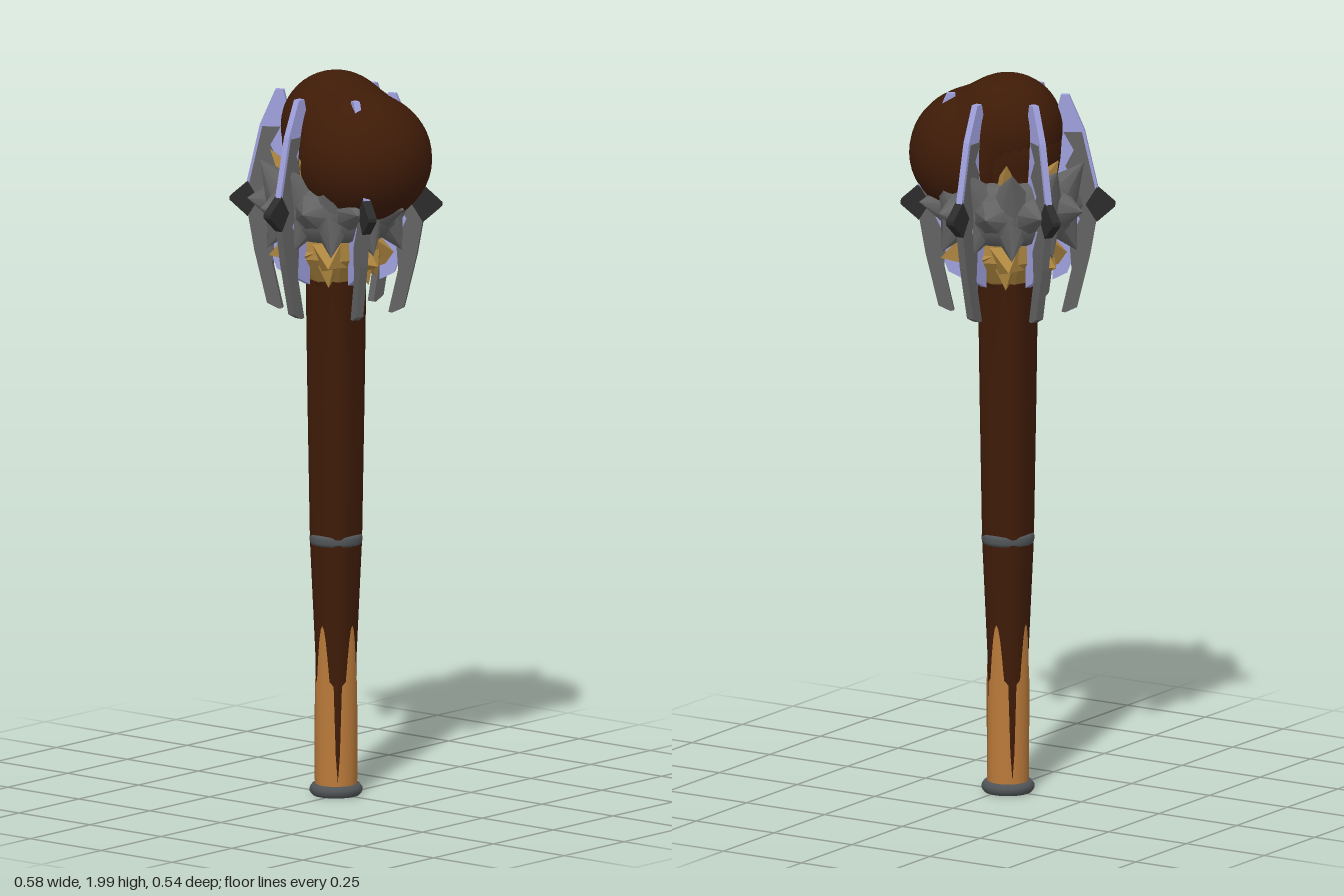
import * as THREE from 'three';

const AXIS_Z = -0.015;
const mat = (name, color, extra = {}) => {
  const m = new THREE.MeshStandardMaterial({ color, ...extra });
  m.name = name;
  return m;
};

export function createModel() {
  const brown = mat('darkWood', 0x3e1b07);
  const orange = mat('paleWood', 0xba7a3a, { side: THREE.DoubleSide });
  const gray = mat('iron', 0x636363);
  const ringGray = mat('bandSteel', 0x505456);
  const dark = mat('blackIron', 0x2b2b2b);
  const lavender = mat('bladeSteel', 0x9fa0dc);
  const gold = mat('amberCrystal', 0xae8640, { flatShading: true });

  const model = new THREE.Group();
  const club = new THREE.Group();
  club.name = 'club';
  club.position.z = AXIS_Z;
  model.add(club);

  const add = (name, geometry, material, parent = club) => {
    const mesh = new THREE.Mesh(geometry, material);
    mesh.name = name;
    parent.add(mesh);
    return mesh;
  };
  const lathe = (pts, n = 32) =>
    new THREE.LatheGeometry(pts.map(([r, y]) => new THREE.Vector2(r, y)), n);

  // Shaft: round at the grip, swelling into a rounded square higher up
  const shaft = lathe([[0.0525, 0.03], [0.0535, 0.28], [0.055, 0.4], [0.063, 0.71], [0.069, 1.1], [0.073, 1.42], [0.09, 1.5]], 48);
  const sp = shaft.attributes.position;
  for (let i = 0; i < sp.count; i++) {
    const x = sp.getX(i), z = sp.getZ(i), y = sp.getY(i);
    const k = 1 + 0.12 * Math.sin(2 * Math.atan2(z, x)) ** 2 * THREE.MathUtils.smoothstep(y, 0.3, 0.7);
    sp.setX(i, x * k);
    sp.setZ(i, z * k);
  }
  shaft.computeVertexNormals();
  add('shaft', shaft, brown);

  // Bare grip: four pointed tongues, with a narrow dark streak between each pair
  const grip = new THREE.CylinderGeometry(0.0575, 0.0545, 0.46, 64, 1, true);
  const gp = grip.attributes.position;
  for (let i = 0; i < gp.count; i++) {
    if (gp.getY(i) < 0) { gp.setY(i, 0.02); continue; }
    const a = 2 * Math.atan2(gp.getZ(i), gp.getX(i));
    const c = Math.abs(Math.cos(a)), d = Math.abs(Math.sin(a));
    gp.setY(i, 0.3 + 0.04 * c + 0.14 * Math.max(0, (c - 0.72) / 0.28) - 0.25 * Math.max(0, (d - 0.93) / 0.07));
  }
  add('grip', grip, orange);
  add('gripEnd', new THREE.CylinderGeometry(0.0545, 0.0545, 0.01, 32), orange).position.y = 0.015;

  // Metal bands
  add('pommelRing', lathe([[0.05, 0.01], [0.064, 0.01], [0.071, 0.019], [0.071, 0.03], [0.064, 0.04], [0.05, 0.04]]), ringGray);
  add('shaftBand', lathe([[0.058, 0.697], [0.069, 0.7], [0.071, 0.708], [0.071, 0.719], [0.069, 0.727], [0.058, 0.73]], 40), ringGray);

  // Head: a flared neck under a dome smoothly blended with a ball bulging forward
  add('headNeck', lathe([[0.07, 1.4], [0.09, 1.5], [0.122, 1.64], [0.143, 1.77], [0.147, 1.83], [0.12, 1.88]], 36), brown);
  const centre = new THREE.Vector3(0, 1.815, 0.035);
  const reach = (dir, y, z, r, squash) => {
    const v = new THREE.Vector3(dir.x, dir.y / squash, dir.z);
    const o = new THREE.Vector3(0, (centre.y - y) / squash, centre.z - z);
    const a = v.lengthSq(), b = v.dot(o), c = o.lengthSq() - r * r;
    return (-b + Math.sqrt(b * b - a * c)) / a;
  };
  const head = new THREE.SphereGeometry(1, 40, 32);
  const hp = head.attributes.position;
  for (let i = 0; i < hp.count; i++) {
    const dir = new THREE.Vector3().fromBufferAttribute(hp, i).normalize();
    const ball = reach(dir, 1.77, 0.095, 0.187, 0.95);
    const dome = reach(dir, 1.849, 0, 0.149, 1);
    const p = dir.multiplyScalar((ball ** 11 + dome ** 11) ** (1 / 11)).add(centre);
    hp.setXYZ(i, p.x, p.y, p.z);
  }
  head.computeVertexNormals();
  add('head', head, brown);

  // Ring of spikes pointing from an inner circle to an outer one
  const up = new THREE.Vector3(0, 1, 0);
  const spikeRing = (name, count, offset, from, to, base, sides, material) => {
    const ring = new THREE.Group();
    ring.name = name;
    club.add(ring);
    for (let i = 0; i < count; i++) {
      const a = offset + (i * Math.PI * 2) / count;
      const at = ([r, y]) => new THREE.Vector3(Math.sin(a) * r, y, -Math.cos(a) * r);
      const p = at(from), q = at(to), d = q.clone().sub(p);
      const spike = add('spike', new THREE.ConeGeometry(base, d.length(), sides, 1, true), material, ring);
      spike.position.copy(p).add(q).multiplyScalar(0.5);
      spike.quaternion.setFromUnitVectors(up, d.normalize());
    }
  };

  // Spiked iron collar
  const collar = add('collar', new THREE.TorusGeometry(0.128, 0.062, 12, 40), gray);
  collar.rotation.x = Math.PI / 2;
  collar.scale.z = 1.45;
  collar.position.y = 1.638;
  const step = Math.PI / 5;
  spikeRing('collarSpikes', 10, 0, [0.135, 1.64], [0.24, 1.645], 0.085, 8, gray);
  spikeRing('upperCollarSpikes', 10, step / 2, [0.125, 1.65], [0.212, 1.765], 0.075, 8, gray);
  spikeRing('lowerCollarSpikes', 10, step / 2, [0.125, 1.63], [0.192, 1.52], 0.075, 8, gray);

  // Amber crystals below and above the collar
  add('crystalCore', lathe([[0.07, 1.425], [0.092, 1.435], [0.14, 1.5], [0.135, 1.57]], 8), gold);
  spikeRing('lowerCrystals', 8, 0.2, [0.08, 1.52], [0.182, 1.487], 0.085, 4, gold);
  spikeRing('bottomCrystals', 6, 0, [0.085, 1.52], [0.115, 1.423], 0.06, 4, gold);
  spikeRing('upperCrystals', 7, 0.12, [0.1, 1.67], [0.178, 1.785], 0.06, 4, gold);

  // Six flanges, each layered from flat plates
  const plate = (pts, t) => {
    const shape = new THREE.Shape(pts.map(([r, y]) => new THREE.Vector2(r, y)));
    return new THREE.ExtrudeGeometry(shape, { depth: t, bevelEnabled: false }).translate(0, 0, -t / 2);
  };
  const blade = plate([[0.12, 1.43], [0.16, 1.45], [0.2, 1.55], [0.249, 1.66], [0.207, 1.845],
    [0.165, 1.942], [0.143, 1.942], [0.12, 1.85]], 0.018);
  const facing = plate([[0.155, 1.34], [0.187, 1.355], [0.222, 1.5], [0.243, 1.62], [0.241, 1.66], [0.2, 1.84],
    [0.15, 1.84], [0.178, 1.79], [0.155, 1.745], [0.19, 1.695], [0.16, 1.65], [0.195, 1.6],
    [0.166, 1.54], [0.172, 1.46], [0.145, 1.342]], 0.021);
  const tooth = plate([[0.21, 1.64], [0.24, 1.592], [0.289, 1.635], [0.289, 1.645], [0.24, 1.688]], 0.024);
  for (let i = 0; i < 6; i++) {
    const flange = new THREE.Group();
    flange.name = 'flange';
    flange.rotation.y = (i * Math.PI) / 3;
    club.add(flange);
    add('blade', blade, lavender, flange);
    add('bladeFacing', facing, gray, flange);
    add('bladeTooth', tooth, dark, flange);
  }

  return model;
}
